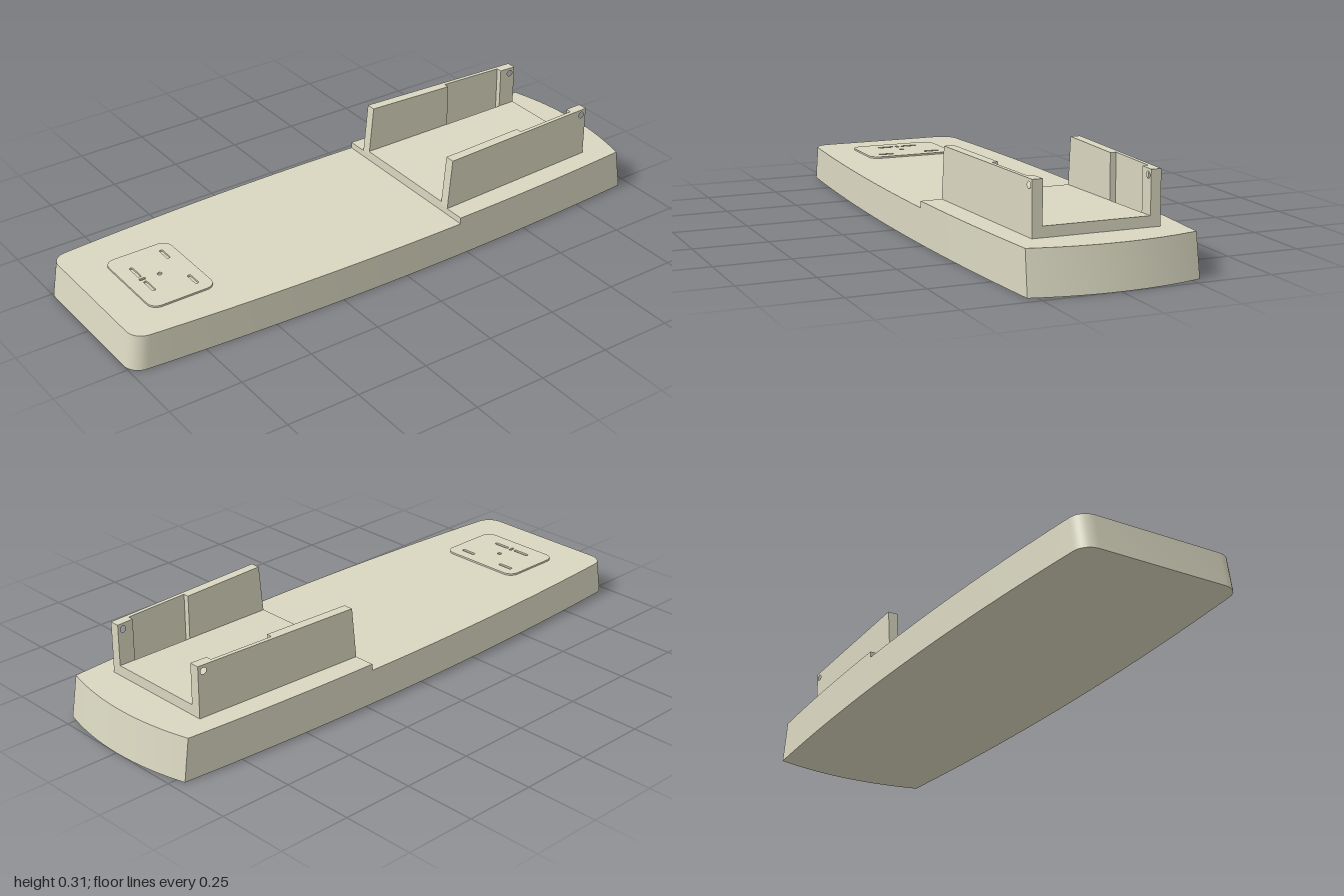
import * as THREE from 'three';
import { toCreasedNormals } from 'three/addons/utils/BufferGeometryUtils.js';

const SPLIT = -0.22;   // where the raised rear deck begins
const BACK = -0.84;    // rear end of the cradle
const DECK = 0.14;
const FRONT_TOP = 0.118;

const halfWidth = z => 0.318 - 0.038 * (z / 0.95) ** 2;
// The cradle narrows towards the back
const outerX = z => 0.24 + (z - SPLIT) * 0.048;
const WALL = 0.034;

function moveVertices(geo, rule) {
  const p = geo.attributes.position, v = new THREE.Vector3();
  for (let i = 0; i < p.count; i++) {
    rule(v.fromBufferAttribute(p, i));
    p.setXYZ(i, v.x, v.y, v.z);
  }
  geo.computeVertexNormals();
  return toCreasedNormals(geo, 0.45);
}

// Mirrors a half outline of [x, z] points and extrudes it upwards with a slight draft
function bodyPart(half, height) {
  const full = [...half, ...half.filter(([x]) => x > 0).reverse().map(([x, z]) => [-x, z])];
  const shape = new THREE.Shape(full.map(([x, z]) => new THREE.Vector2(x, -z)));
  const geo = new THREE.ExtrudeGeometry(shape, { depth: height, bevelEnabled: false });
  geo.rotateX(-Math.PI / 2);
  return moveVertices(geo, v => {
    v.x *= 1 - 0.07 * v.y;
    v.z -= 0.16 * v.y * (v.z - SPLIT) / (v.z > SPLIT ? 1 - SPLIT : 1 + SPLIT);
  });
}

// Side profile of [z, y] points extruded along x from 0 to depth
function sideProfile(points, depth, hole) {
  const shape = new THREE.Shape(points.map(([z, y]) => new THREE.Vector2(-z, y)));
  if (hole) shape.holes.push(new THREE.Path().absarc(-hole[0], hole[1], hole[2], 0, Math.PI * 2, true));
  const geo = new THREE.ExtrudeGeometry(shape, { depth, bevelEnabled: false, curveSegments: 8 });
  return geo.rotateY(Math.PI / 2);
}

function roundedRect(path, x, y, w, h, r) {
  const a = w / 2 - r, b = h / 2 - r, q = Math.PI / 2;
  [[a, b], [-a, b], [-a, -b], [a, -b]].forEach(([cx, cy], i) =>
    path.absarc(x + cx, y + cy, r, i * q, (i + 1) * q, false));
  path.closePath();
  return path;
}

export function createModel() {
  const group = new THREE.Group();
  const material = new THREE.MeshStandardMaterial({ color: 0xd9d7c0 });
  const add = (name, geo) => {
    const mesh = new THREE.Mesh(geo, material);
    mesh.name = name;
    group.add(mesh);
    return mesh;
  };

  // Front of the body: bowed sides and rounded front corners
  const front = [], rear = [], n = 16;
  for (let i = 0; i <= n; i++) {
    const z = THREE.MathUtils.lerp(SPLIT, 0.945, i / n);
    front.push([halfWidth(z), z]);
  }
  for (let i = 1; i <= 8; i++) {
    const a = i / 8 * Math.PI / 2;
    front.push([0.225 + 0.055 * Math.cos(a), 0.945 + 0.055 * Math.sin(a)]);
  }
  add('frontBody', bodyPart(front, FRONT_TOP));

  // Raised rear of the body: bowed sides and an arched back
  for (let i = 0; i <= n; i++) {
    const z = THREE.MathUtils.lerp(SPLIT, -0.96, i / n);
    rear.push([halfWidth(z), z]);
  }
  for (let i = 1; i <= 10; i++) {
    const x = halfWidth(-0.96) * (1 - i / 10);
    rear.push([x, -1 + 0.04 * (x / 0.28) ** 2]);
  }
  add('rearBody', bodyPart(rear, DECK));

  // Cradle floor, rising gently towards the back
  const floor = sideProfile([[SPLIT, DECK], [SPLIT, 0.152], [BACK, 0.175], [BACK, DECK]], 2);
  add('cradleFloor', moveVertices(floor, v => { v.x = (v.x - 1) * (outerX(v.z) - WALL); }));

  // Cradle walls: thick front, thin recessed middle, rear post with a pin hole
  const top = 0.315, step = -0.55, postFront = -0.78;
  const parts = [
    ['frontWall', [[SPLIT, DECK], [SPLIT - 0.018, top], [step, top], [step, DECK]], WALL],
    ['recessedWall', [[step, DECK], [step, top], [postFront, top], [postFront, DECK]], 0.014],
    ['rearPost', [[postFront, DECK], [postFront, top], [BACK, top], [BACK, DECK]], WALL, [-0.82, 0.295, 0.011]],
  ];
  for (const side of [1, -1]) {
    for (const [name, points, thickness, hole] of parts) {
      const geo = moveVertices(sideProfile(points, thickness, hole), v => {
        v.x += side > 0 ? outerX(v.z) - thickness : -outerX(v.z);
      });
      add((side > 0 ? 'left ' : 'right ') + name, geo);
    }
  }

  // Thin rounded plate near the front, pierced by small slots and a centre hole
  const plate = roundedRect(new THREE.Shape(), 0, 0, 0.313, 0.23, 0.035);
  for (const [x, y, w, h] of [
    [-0.09, 0.07, 0.055, 0.012], [0.087, 0.07, 0.055, 0.012],
    [-0.05, -0.06, 0.06, 0.012], [0.042, -0.06, 0.06, 0.012], [-0.004, -0.06, 0.01, 0.022],
  ]) plate.holes.push(roundedRect(new THREE.Path(), x, y, w, h, 0.004));
  plate.holes.push(new THREE.Path().absarc(0, 0, 0.008, 0, Math.PI * 2, true));
  const plateGeo = new THREE.ExtrudeGeometry(plate, { depth: 0.008, bevelEnabled: false, curveSegments: 6 });
  plateGeo.rotateX(-Math.PI / 2);
  add('frontPlate', toCreasedNormals(plateGeo, 0.45)).position.set(0.012, FRONT_TOP - 0.002, 0.745);

  return group;
}
